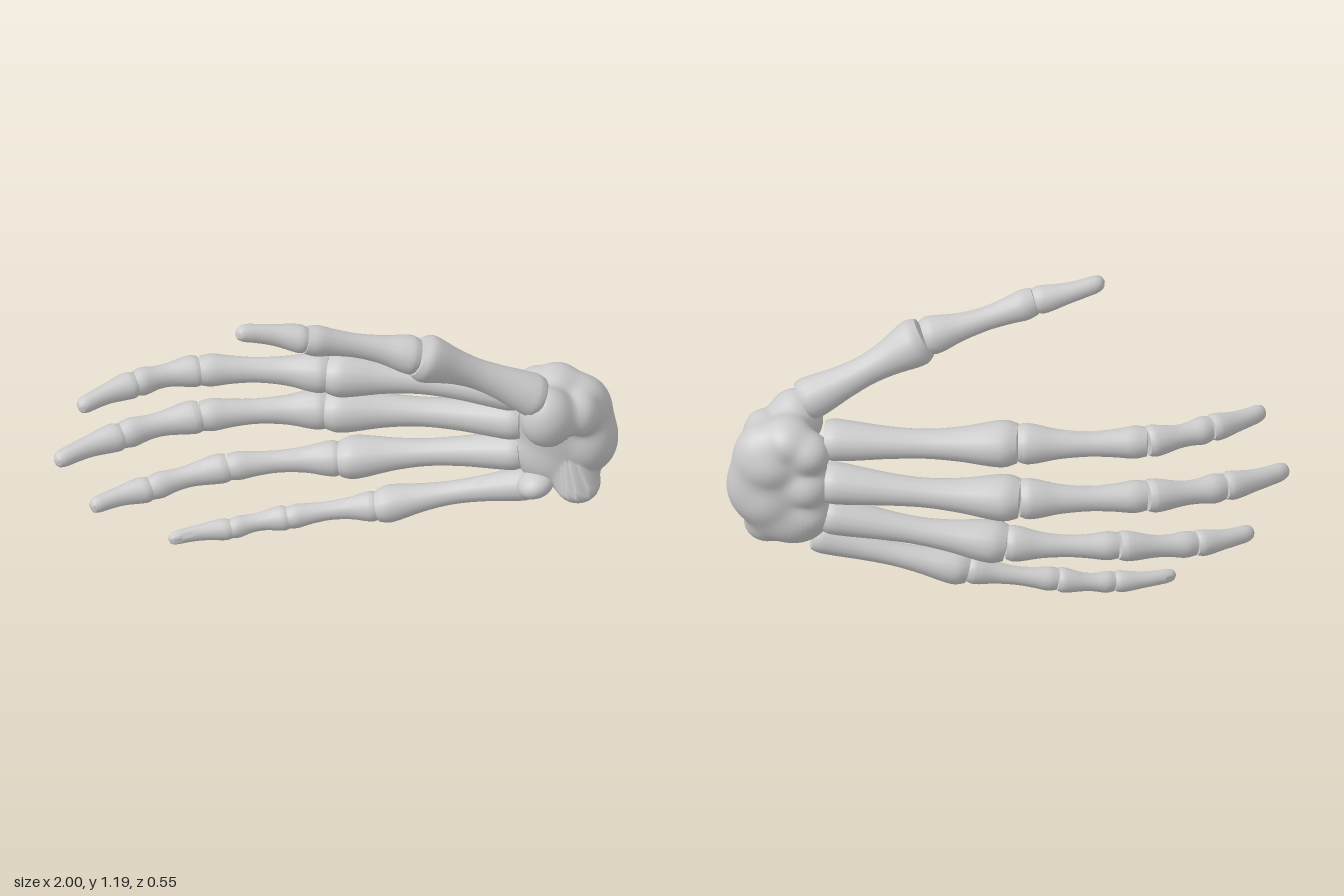
import * as THREE from 'three';
import { mergeVertices, toCreasedNormals } from 'three/addons/utils/BufferGeometryUtils.js';

const material = new THREE.MeshStandardMaterial({ color: 0xcccccc });

// Bone profiles: [position along the bone, radius]
const METACARPAL = [[0, 0.066], [0.05, 0.074], [0.16, 0.069], [0.33, 0.058], [0.52, 0.053],
  [0.7, 0.062], [0.86, 0.079], [0.94, 0.082], [1, 0.069]];
const PROXIMAL = [[0, 0.066], [0.06, 0.075], [0.15, 0.071], [0.32, 0.055], [0.55, 0.047],
  [0.75, 0.052], [0.9, 0.06], [1, 0.053]];
const MIDDLE = [[0, 0.055], [0.08, 0.062], [0.2, 0.059], [0.45, 0.047], [0.65, 0.046],
  [0.86, 0.054], [1, 0.047]];
const DISTAL = [[0, 0.046], [0.08, 0.053], [0.2, 0.051], [0.45, 0.041], [0.7, 0.036],
  [0.85, 0.034], [0.95, 0.027], [0.99, 0.015]];

// Turned bone between two joints, bowed towards the back of the hand
function bone(name, from, to, profile, scale, depth, bow) {
  const a = new THREE.Vector3(...from), b = new THREE.Vector3(...to);
  const length = a.distanceTo(b);
  const curve = new THREE.SplineCurve(profile.map(([t, r]) => new THREE.Vector2(r * scale, t * length)));
  const points = curve.getPoints(28);
  points.unshift(new THREE.Vector2(0, 0));
  points.push(new THREE.Vector2(0, length * 1.01));

  let geometry = new THREE.LatheGeometry(points, 16);
  const p = geometry.attributes.position;
  for (let i = 0; i < p.count; i++) {
    const t = p.getY(i) / length;
    let z = p.getZ(i) * depth;
    if (z > 0) z *= 1 - 0.1 * Math.sin(Math.PI * t); // flatter palm side
    p.setZ(i, z - bow * Math.sin(Math.PI * t));
  }
  geometry.deleteAttribute('uv');
  geometry.deleteAttribute('normal');
  geometry = toCreasedNormals(mergeVertices(geometry, 1e-5), 0.9);

  const y = b.clone().sub(a).normalize();
  const x = y.clone().cross(new THREE.Vector3(0, 0, 1)).normalize();
  const z = x.clone().cross(y);
  const mesh = new THREE.Mesh(geometry, material);
  mesh.name = name;
  mesh.quaternion.setFromRotationMatrix(new THREE.Matrix4().makeBasis(x, y, z));
  mesh.position.copy(a);
  return mesh;
}

// Each finger: joints from the wrist to the tip, and the thickness of each bone
const FINGERS = [
  { name: 'indexFinger', scales: [1, 1, 0.95, 0.95],
    joints: [[0.64, 0.7, -0.13], [-0.05, 0.715, -0.13], [-0.51, 0.715, -0.09], [-0.73, 0.71, 0.01], [-0.915, 0.69, 0.15]] },
  { name: 'middleFinger', scales: [1, 1, 1, 1],
    joints: [[0.64, 0.54, -0.17], [-0.06, 0.51, -0.185], [-0.51, 0.49, -0.115], [-0.78, 0.46, -0.005], [-1, 0.435, 0.145]] },
  { name: 'ringFinger', scales: [0.93, 0.88, 0.9, 0.92],
    joints: [[0.64, 0.4, -0.17], [-0.01, 0.3, -0.175], [-0.41, 0.265, -0.12], [-0.68, 0.215, -0.025], [-0.88, 0.195, 0.085]] },
  { name: 'littleFinger', scales: [0.8, 0.74, 0.74, 0.75],
    joints: [[0.68, 0.28, -0.14], [0.13, 0.14, -0.12], [-0.19, 0.08, -0.09], [-0.39, 0.045, -0.045], [-0.605, 0.032, 0.028]] },
  { name: 'thumb', scales: [1.07, 0.95, 0.98],
    joints: [[0.725, 0.772, -0.005], [0.3, 1.0, 0.1], [-0.09, 1.11, 0.195], [-0.335, 1.165, 0.255]] },
];

function buildFinger({ name, scales, joints }) {
  const finger = new THREE.Group();
  finger.name = name;
  const isThumb = scales.length === 3;
  const names = ['metacarpal', 'proximalBone', 'middleBone', 'tipBone'];
  const profiles = [METACARPAL, PROXIMAL, MIDDLE, DISTAL];
  scales.forEach((scale, i) => {
    const part = isThumb && i === 2 ? 3 : i; // the thumb has no middle bone
    const depth = i === 0 && !isThumb ? 1.1 : 1;
    finger.add(bone(names[part], joints[i], joints[i + 1], profiles[part], scale, depth, i === 0 ? 0.012 : 0.008));
  });
  return finger;
}

// Wrist bones as [centre, radii], melted into one knobbly block
const WRIST = [
  [[0.8, 0.53, -0.165], [0.17, 0.22, 0.085]],
  [[0.86, 0.64, -0.15], [0.1, 0.11, 0.095]],
  [[0.87, 0.67, -0.06], [0.065, 0.08, 0.08]],
  [[0.755, 0.69, 0], [0.1, 0.115, 0.095]],
  [[0.77, 0.72, -0.15], [0.08, 0.07, 0.1]],
  [[0.9, 0.5, -0.145], [0.085, 0.12, 0.085]],
  [[0.85, 0.315, -0.115], [0.08, 0.072, 0.075]],
  [[0.75, 0.38, -0.17], [0.12, 0.1, 0.085]],
  // knobs on the back
  [[0.69, 0.68, -0.19], [0.07, 0.07, 0.075]],
  [[0.7, 0.54, -0.2], [0.08, 0.075, 0.075]],
  [[0.69, 0.42, -0.19], [0.07, 0.07, 0.075]],
  [[0.83, 0.62, -0.2], [0.08, 0.07, 0.065]],
  [[0.84, 0.46, -0.2], [0.08, 0.08, 0.06]],
];

// Smooth union of the ellipsoids: negative inside
function wristField(x, y, z) {
  const k = 0.013;
  let sum = 0;
  for (const [c, r] of WRIST) {
    const q = Math.hypot((x - c[0]) / r[0], (y - c[1]) / r[1], (z - c[2]) / r[2]);
    sum += Math.exp(-(q - 1) * Math.min(...r) / k);
  }
  return -k * Math.log(sum);
}

// Sphere whose points are pulled in along their rays to the wrist surface
function buildWrist() {
  const centre = [0.8, 0.54, -0.15];
  let geometry = new THREE.SphereGeometry(1, 72, 54);
  geometry.deleteAttribute('uv');
  geometry.deleteAttribute('normal');
  geometry = mergeVertices(geometry, 1e-5);
  const p = geometry.attributes.position;
  for (let i = 0; i < p.count; i++) {
    const d = [p.getX(i), p.getY(i), p.getZ(i)];
    const at = (s) => d.map((v, j) => centre[j] + v * s);
    let s = 0.5;
    while (s > 0.02 && wristField(...at(s)) > 0) s -= 0.004;
    let low = s, high = s + 0.004;
    for (let n = 0; n < 8; n++) {
      const mid = (low + high) / 2;
      if (wristField(...at(mid)) > 0) high = mid; else low = mid;
    }
    p.setXYZ(i, ...at(low));
  }
  geometry.computeVertexNormals();
  const wrist = new THREE.Mesh(geometry, material);
  wrist.name = 'wristBones';
  return wrist;
}

// Small hooked knob in front of the little finger's base
function buildHook() {
  const hook = new THREE.Mesh(new THREE.SphereGeometry(1, 20, 14), material);
  hook.name = 'wristHook';
  hook.scale.set(0.068, 0.048, 0.07);
  hook.position.set(0.7, 0.31, -0.1);
  hook.rotation.z = 0.3;
  return hook;
}

export function createModel() {
  const hand = new THREE.Group();
  hand.name = 'skeletonHand';
  hand.add(buildWrist(), buildHook());
  FINGERS.forEach((finger) => hand.add(buildFinger(finger)));
  return hand;
}
